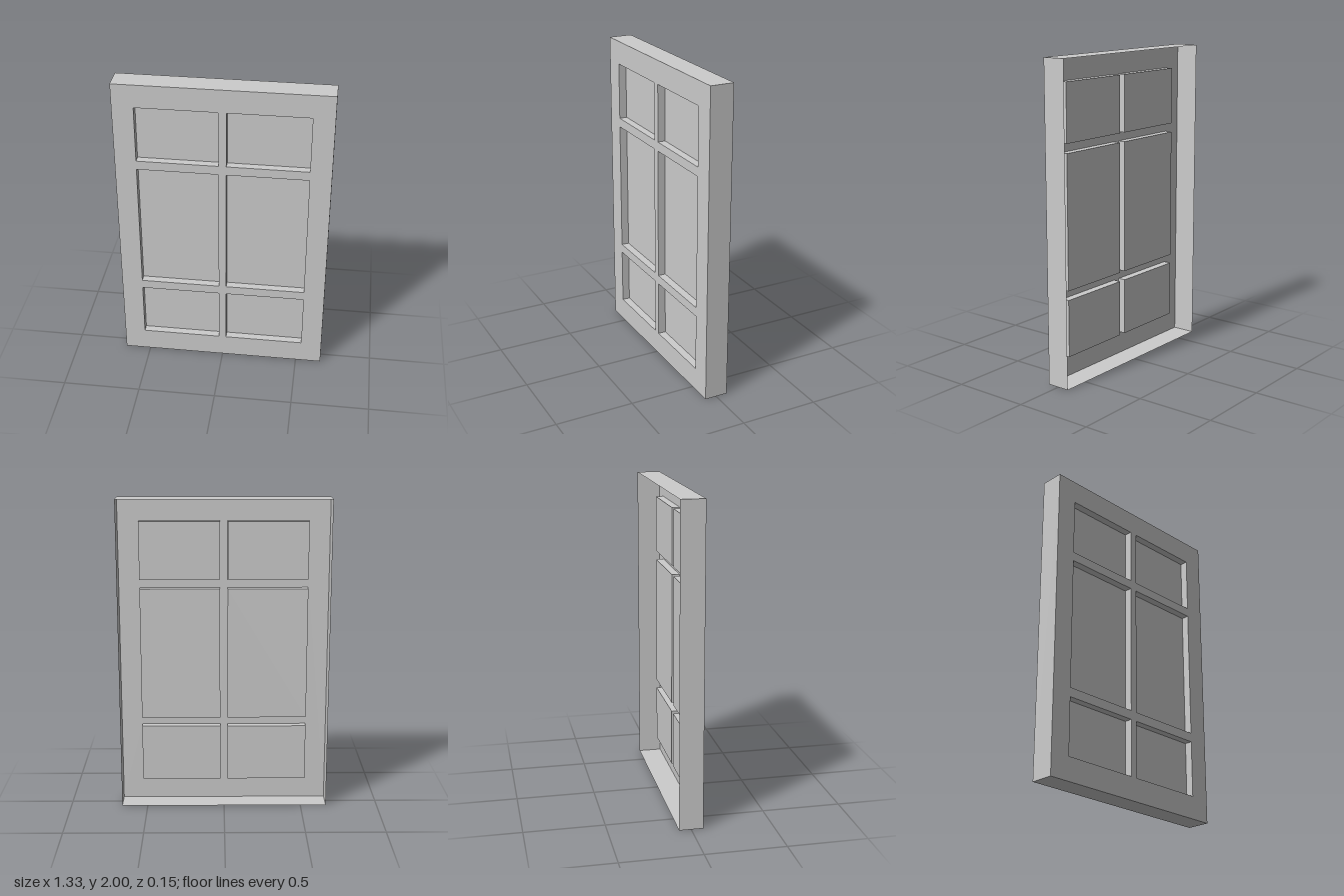
import * as THREE from 'three';

const W = 1.334, H = 2, D = 0.15;
const FRONT = D / 2;
const RECESS = 0.05;
const COLUMNS = [[-0.533, -0.024], [0.024, 0.533]];
const ROWS = [[0.149, 0.515], [0.574, 1.426], [1.485, 1.851]];

const material = new THREE.MeshStandardMaterial({ color: 0xcccccc, side: THREE.DoubleSide });

function addPlane(parent, name, w, h, position, rotation = [0, 0, 0]) {
  const mesh = new THREE.Mesh(new THREE.PlaneGeometry(w, h), material);
  mesh.name = name;
  mesh.position.set(...position);
  mesh.rotation.set(...rotation);
  parent.add(mesh);
}

// Four walls running back from the front face; sign 1 faces outward, -1 inward
function addWalls(parent, name, [x0, x1], [y0, y1], depth, sign) {
  const z = FRONT - depth / 2;
  const cx = (x0 + x1) / 2, cy = (y0 + y1) / 2;
  const q = sign * Math.PI / 2;
  addPlane(parent, name + 'Left', depth, y1 - y0, [x1, cy, z], [0, q, 0]);
  addPlane(parent, name + 'Right', depth, y1 - y0, [x0, cy, z], [0, -q, 0]);
  addPlane(parent, name + 'Top', x1 - x0, depth, [cx, y1, z], [-q, 0, 0]);
  addPlane(parent, name + 'Bottom', x1 - x0, depth, [cx, y0, z], [q, 0, 0]);
}

function rectangle(target, [x0, x1], [y0, y1]) {
  target.moveTo(x0, y0);
  target.lineTo(x1, y0);
  target.lineTo(x1, y1);
  target.lineTo(x0, y1);
  target.closePath();
  return target;
}

export function createModel() {
  const door = new THREE.Group();
  door.name = 'panelDoor';

  // Front face with six openings
  const outerX = [-W / 2, W / 2], outerY = [0, H];
  const face = rectangle(new THREE.Shape(), outerX, outerY);
  for (const xs of COLUMNS)
    for (const ys of ROWS) face.holes.push(rectangle(new THREE.Path(), xs, ys));
  const frontFace = new THREE.Mesh(new THREE.ShapeGeometry(face), material);
  frontFace.name = 'frontFace';
  frontFace.position.z = FRONT;
  door.add(frontFace);

  // Outer edges, open at the back
  const edges = new THREE.Group();
  edges.name = 'outerEdges';
  addWalls(edges, 'edge', outerX, outerY, D, 1);
  door.add(edges);

  // Recessed panels, which stand out as shallow trays behind the front face
  for (const xs of COLUMNS) {
    for (const ys of ROWS) {
      const panel = new THREE.Group();
      panel.name = 'recessedPanel';
      addWalls(panel, 'recessWall', xs, ys, RECESS, -1);
      addPlane(panel, 'panelFace', xs[1] - xs[0], ys[1] - ys[0],
        [(xs[0] + xs[1]) / 2, (ys[0] + ys[1]) / 2, FRONT - RECESS]);
      door.add(panel);
    }
  }
  return door;
}
